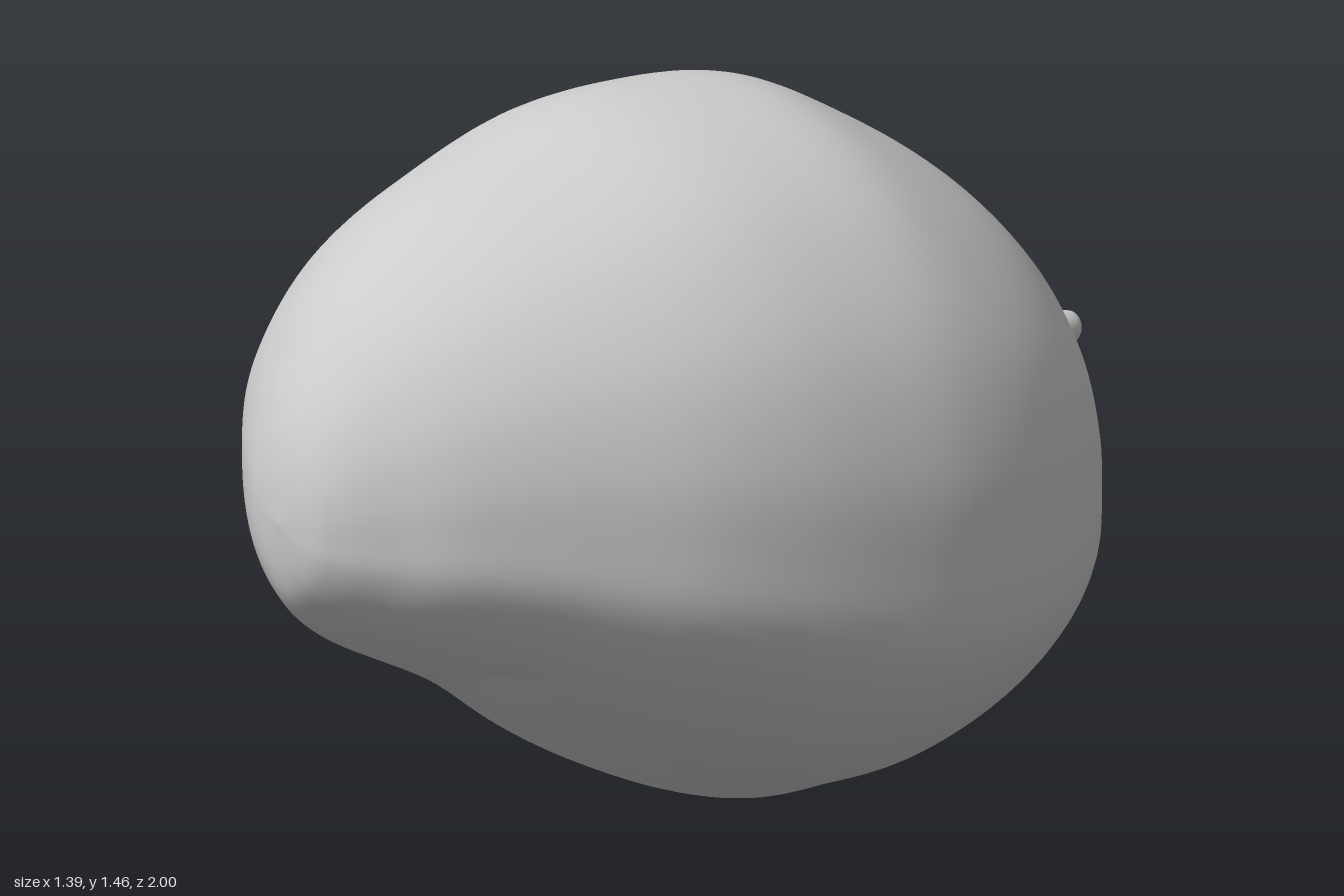
import * as THREE from 'three';

// Outline of the fleshy body seen from the front (x, y), counter-clockwise
const OUTLINE = [
  [0.69, 0.6], [0.68, 0.8], [0.6, 1.05], [0.42, 1.28], [0.2, 1.41], [-0.06, 1.46],
  [-0.3, 1.4], [-0.5, 1.26], [-0.62, 1.12], [-0.68, 0.98], [-0.695, 0.8], [-0.67, 0.6],
  [-0.59, 0.4], [-0.45, 0.22], [-0.3, 0.1], [-0.15, 0.02], [0, 0], [0.2, 0.06],
  [0.4, 0.14], [0.58, 0.28], [0.675, 0.43],
];

// Extents of the body along its length: z, bottom, top, -x side, +x side
const ROWS = [
  [1.0, 0.72, 0.72, -0.05, -0.05], [0.985, 0.61, 0.83, -0.14, 0.04],
  [0.95, 0.54, 0.93, -0.21, 0.1], [0.88, 0.475, 1.04, -0.31, 0.18],
  [0.78, 0.41, 1.15, -0.42, 0.285], [0.6, 0.31, 1.28, -0.55, 0.42],
  [0.4, 0.2, 1.37, -0.635, 0.55], [0.2, 0.1, 1.44, -0.685, 0.63],
  [0.0, 0.025, 1.46, -0.7, 0.675], [-0.18, 0.0, 1.445, -0.685, 0.69],
  [-0.36, 0.05, 1.36, -0.635, 0.665], [-0.52, 0.14, 1.26, -0.56, 0.595],
  [-0.64, 0.25, 1.15, -0.46, 0.495], [-0.73, 0.35, 1.04, -0.36, 0.37],
  [-0.79, 0.45, 0.93, -0.27, 0.25], [-0.825, 0.54, 0.83, -0.18, 0.13],
  [-0.84, 0.66, 0.72, -0.05, 0.01],
];

const catmull = (a, b, c, d, t) =>
  b + 0.5 * t * (c - a + t * (2 * a - 5 * b + 4 * c - d + t * (3 * (b - c) + d - a)));

function rowAt(s) {
  const last = ROWS.length - 1;
  const f = s * last, i = Math.min(Math.floor(f), last - 1);
  const [a, b, c, d] = [-1, 0, 1, 2].map((k) => ROWS[THREE.MathUtils.clamp(i + k, 0, last)]);
  return b.map((_, k) => catmull(a[k], b[k], c[k], d[k], f - i));
}

// Smooth falloff around a point
const bell = (p, x, y, z, rx, ry, rz) =>
  Math.exp(-(((p.x - x) / rx) ** 2) - ((p.y - y) / ry) ** 2 - ((p.z - z) / rz) ** 2);

// Local hollows and swellings on the skin
function sculpt(p) {
  if (p.z < -0.4) {
    const hollow = 0.085 * bell(p, -0.03, 0.82, -0.82, 0.13, 0.1, 0.3); // stem cavity
    const groove = 0.035 * bell(p, 0.04, 0.6, -0.8, 0.07, 0.16, 0.3); // crease below the stem
    p.z += hollow + groove;
  } else if (p.z > 0) {
    const valley = 0.045 * bell(p, -0.2, 0.36, 0.58, 0.18, 0.15, 0.22); // under the beak
    const pit = 0.025 * bell(p, 0.15, 0.36, 0.6, 0.09, 0.06, 0.06);
    const nub = 0.02 * bell(p, 0.18, 0.36, 0.66, 0.06, 0.04, 0.03);
    const push = valley + pit - nub;
    p.y += push * 0.85;
    p.z -= push * 0.5;
  }
}

function bodyGeometry(rings = 120, around = 112) {
  const outline = new THREE.CatmullRomCurve3(
    OUTLINE.map(([x, y]) => new THREE.Vector3((x + 0.0025) / 0.6925, y / 0.73 - 1, 0)), true);
  const section = outline.getSpacedPoints(around).slice(0, around);
  const positions = [], index = [], p = new THREE.Vector3();
  for (let i = 0; i <= rings; i++) {
    const [z, y0, y1, x0, x1] = rowAt(i / rings);
    for (const q of section) {
      p.set((x0 + x1) / 2 + q.x * (x1 - x0) / 2, (y0 + y1) / 2 + q.y * (y1 - y0) / 2, z);
      sculpt(p);
      positions.push(p.x, p.y, p.z);
    }
  }
  for (let i = 0; i < rings; i++) {
    for (let j = 0; j < around; j++) {
      const k = (j + 1) % around;
      const a = i * around + j, b = i * around + k, c = a + around, d = b + around;
      index.push(a, c, b, b, c, d);
    }
  }
  // Close both ends with a fan
  for (const [ring, front] of [[0, true], [rings, false]]) {
    const base = ring * around, centre = positions.length / 3;
    const sum = new THREE.Vector3();
    for (let j = 0; j < around; j++) {
      sum.add(p.fromArray(positions, (base + j) * 3));
    }
    positions.push(...sum.divideScalar(around).toArray());
    for (let j = 0; j < around; j++) {
      const a = base + j, b = base + ((j + 1) % around);
      index.push(...(front ? [centre, a, b] : [centre, b, a]));
    }
  }
  const geometry = new THREE.BufferGeometry();
  geometry.setAttribute('position', new THREE.Float32BufferAttribute(positions, 3));
  geometry.setIndex(index);
  geometry.computeVertexNormals();
  return geometry;
}

// Flared, slightly bent stalk pointing backwards
function stemGeometry() {
  const profile = new THREE.SplineCurve([
    [0.11, -0.03], [0.08, 0.01], [0.065, 0.06], [0.05, 0.11], [0.041, 0.16],
    [0.037, 0.21], [0.027, 0.24], [0, 0.25],
  ].map(([r, h]) => new THREE.Vector2(r, h))).getPoints(36);
  profile.forEach((v) => { v.x = Math.max(v.x, 0); });
  const geometry = new THREE.LatheGeometry(profile, 32);
  geometry.rotateX(-Math.PI / 2);
  const pos = geometry.attributes.position;
  for (let i = 0; i < pos.count; i++) {
    const h = -pos.getZ(i) / 0.25;
    pos.setX(i, pos.getX(i) + 0.015 - 0.02 * h);
    pos.setY(i, pos.getY(i) + 0.012 - 0.04 * h + 0.035 * h * h);
  }
  geometry.computeVertexNormals();
  return geometry;
}

export function createModel() {
  const group = new THREE.Group();
  group.name = 'fruit';
  const material = new THREE.MeshStandardMaterial({ color: 0xcccccc });

  const body = new THREE.Mesh(bodyGeometry(), material);
  body.name = 'body';

  const stem = new THREE.Mesh(stemGeometry(), material);
  stem.name = 'stem';
  stem.position.set(-0.025, 0.81, -0.75);

  group.add(body, stem);
  return group;
}
